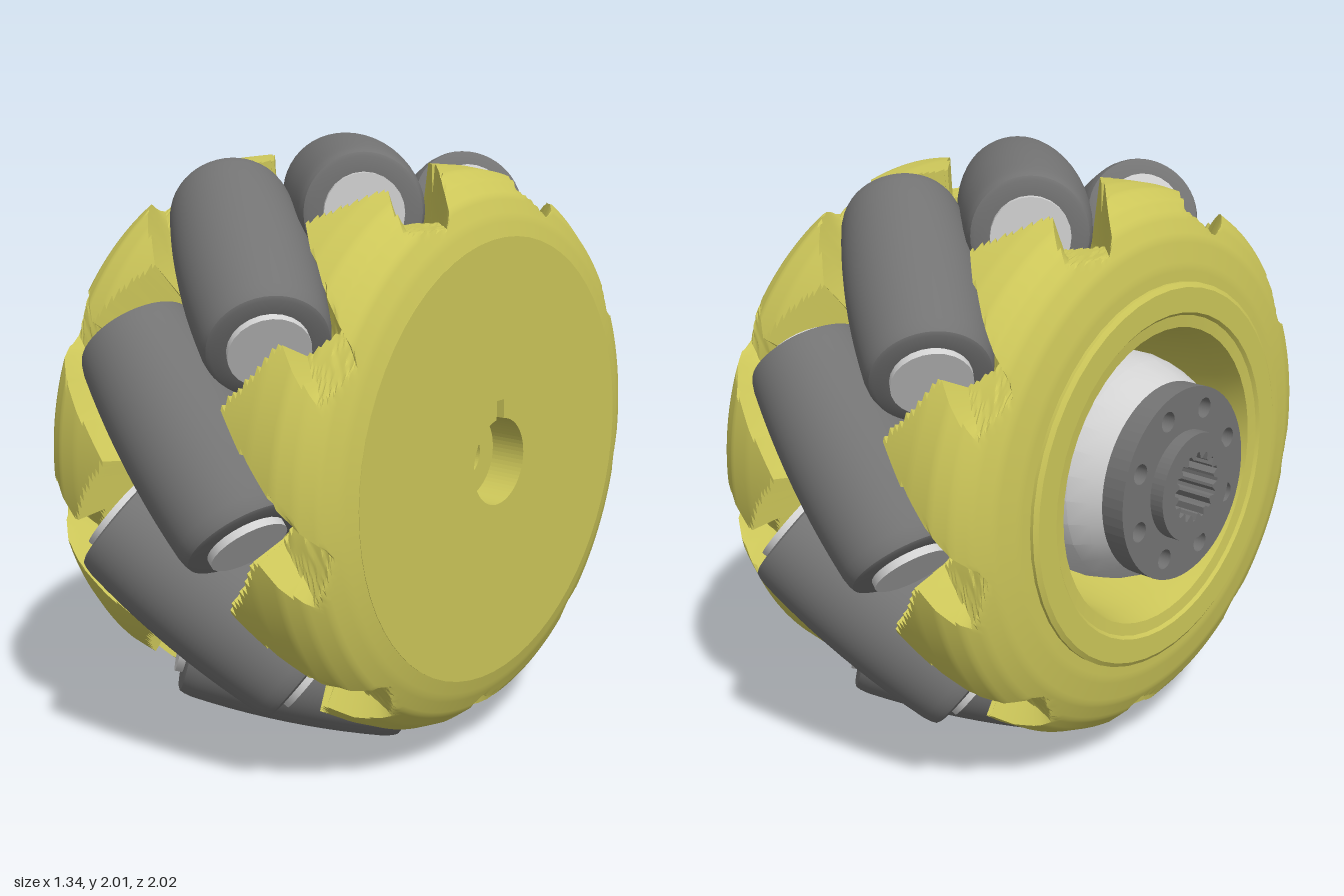
import * as THREE from 'three';
import { toCreasedNormals } from 'three/addons/utils/BufferGeometryUtils.js';

const COUNT = 9, STEP = (Math.PI * 2) / COUNT, PHASE = Math.PI / 18;
const CX = 0.06;        // middle of the wheel along its axle
const R = 0.785;        // distance of roller centres from the axle
const HALF = 0.38;      // half length of a roller

const mat = (name, color) => {
  const m = new THREE.MeshStandardMaterial({ color });
  m.name = name;
  return m;
};

// Solid of revolution around the x axis, points are [x, radius]
function turned(points, segments = 64, crease = 0.5) {
  const g = new THREE.LatheGeometry(points.map(([x, r]) => new THREE.Vector2(r, x)), segments);
  g.rotateZ(-Math.PI / 2);
  return toCreasedNormals(g, crease);
}

// Is the point (x, radius, angle from a roller) inside a roller pocket or a rim notch?
function isCut(x, rho, delta) {
  const a = rho * Math.cos(delta) - R, b = rho * Math.sin(delta), dx = x - CX;
  const s = (dx - b) * Math.SQRT1_2, w = (dx + b) * Math.SQRT1_2;
  if (Math.abs(s) < HALF + 0.025 && Math.abs(w) < 0.232 && (a > 0 || a * a + w * w < 0.0538)) return true;
  const side = Math.sign(s);
  return Math.abs(s) > 0.36 && Math.abs(s) < 0.8 && w * side > 0.09 && w * side < 0.23 && a > -0.03;
}

// Rounded rim with slanted pockets: a radial height field sheared along the rollers
function rimGeometry() {
  const profile = [[-0.53, 0.6], [-0.527, 0.68], [-0.51, 0.77], [-0.48, 0.835], [-0.44, 0.88], [-0.38, 0.908], [-0.3, 0.918],
    [0.42, 0.918], [0.51, 0.908], [0.57, 0.88], [0.62, 0.835], [0.65, 0.77], [0.667, 0.71]];
  const rings = [];
  profile.forEach(([x, r], i) => {
    if (i === 0) return rings.push([x, r]);
    const [x0, r0] = profile[i - 1];
    const n = Math.ceil(Math.hypot(x - x0, r - r0) / 0.016);
    for (let k = 1; k <= n; k++) rings.push([x0 + ((x - x0) * k) / n, r0 + ((r - r0) * k) / n]);
  });
  const N = 360, pos = [], index = [];
  rings.forEach(([x, top], i) => {
    for (let j = 0; j < N; j++) {
      const phi = (j / N) * Math.PI * 2 - (x - CX) / R;
      const near = Math.round((phi - PHASE) / STEP);
      let rho = top;
      for (let k = near - 2; k <= near + 2; k++) {
        const delta = phi - PHASE - k * STEP;
        for (let q = 0.52; q < rho; q += 0.004) if (isCut(x, q, delta)) rho = q;
      }
      pos.push(x, rho * Math.sin(phi), rho * Math.cos(phi));
      if (i < rings.length - 1) {
        const a = i * N + j, b = i * N + ((j + 1) % N);
        index.push(a, a + N, b, b, a + N, b + N);
      }
    }
  });
  const g = new THREE.BufferGeometry();
  g.setAttribute('position', new THREE.Float32BufferAttribute(pos, 3));
  g.setIndex(index);
  return toCreasedNormals(g, 0.45);
}

// Barrel-shaped roller, long axis on y
function rollerGeometry() {
  const pts = [[0.1, -HALF + 0.02], [0.12, -HALF], [0.172, -HALF], [0.184, -HALF + 0.006], [0.191, -HALF + 0.022]];
  for (let i = -5; i <= 5; i++) {
    const s = i * 0.066;
    pts.push([0.216 - 0.17 * s * s, s]);
  }
  pts.push([0.191, HALF - 0.022], [0.184, HALF - 0.006], [0.172, HALF], [0.12, HALF], [0.1, HALF - 0.02]);
  return toCreasedNormals(new THREE.LatheGeometry(pts.map(p => new THREE.Vector2(...p)), 48), 0.6);
}

// Flat plate facing along the axle, extruded from a shape drawn in (-z, y)
function plate(shape, x, depth) {
  const g = new THREE.ExtrudeGeometry(shape, { depth, bevelEnabled: false, curveSegments: 32 });
  g.rotateY(Math.PI / 2);
  g.translate(x, 0, 0);
  return g;
}

function disc(radius) {
  return new THREE.Shape().absarc(0, 0, radius, 0, Math.PI * 2);
}

export function createModel() {
  const yellow = mat('yellow plastic', 0xccc659);
  const grey = mat('dark grey rubber', 0x737373);
  const silver = mat('light grey metal', 0xd2d2d2);

  const model = new THREE.Group();
  model.name = 'rollerWheel';
  const wheel = new THREE.Group();
  wheel.name = 'wheel';
  wheel.position.y = 1;
  model.add(wheel);
  const add = (parent, name, geometry, material) => {
    const m = new THREE.Mesh(geometry, material);
    m.name = name;
    parent.add(m);
    return m;
  };

  add(wheel, 'rim', rimGeometry(), yellow);

  // Closed outer face with a round recess and key slot
  const face = disc(0.712);
  const slot = new THREE.Path();
  const half = Math.asin(0.02 / 0.14);
  slot.absarc(0, 0, 0.14, Math.PI / 2 + half, Math.PI * 2.5 - half);
  slot.lineTo(0.02, 0.2);
  slot.lineTo(-0.02, 0.2);
  slot.closePath();
  face.holes.push(slot);
  add(wheel, 'outerFace', plate(face, 0.55, 0.118), yellow);
  const floor = disc(0.3);
  floor.holes.push(new THREE.Path().absarc(0, 0, 0.065, 0, Math.PI * 2));
  add(wheel, 'recessFloor', plate(floor, 0.5, 0.05), yellow);

  // Stepped ring and deep well on the hub side
  add(wheel, 'hubWell', turned([[-0.12, 0.065], [-0.12, 0.44], [-0.45, 0.47], [-0.535, 0.49], [-0.54, 0.53],
    [-0.55, 0.54], [-0.55, 0.62], [-0.54, 0.635], [-0.525, 0.635]], 48), yellow);

  // Light metal hub inside the well
  add(wheel, 'hubCore', turned([[-0.55, 0.12], [-0.55, 0.31], [-0.51, 0.335], [-0.44, 0.365], [-0.36, 0.38], [-0.12, 0.38]], 28, 0.3), silver);

  // Bolted flange with eight holes
  const flange = disc(0.318);
  for (let i = 0; i < 8; i++) {
    const a = ((i + 0.5) / 8) * Math.PI * 2;
    flange.holes.push(new THREE.Path().absarc(0.25 * Math.cos(a), 0.25 * Math.sin(a), 0.033, 0, Math.PI * 2));
  }
  flange.holes.push(new THREE.Path().absarc(0, 0, 0.14, 0, Math.PI * 2));
  add(wheel, 'hubFlange', plate(flange, -0.625, 0.08), grey);
  add(wheel, 'flangeBack', turned([[-0.56, 0.14], [-0.56, 0.315]], 48), grey);

  // Splined boss
  const boss = disc(0.178);
  const spline = [];
  for (let i = 0; i < 64; i++) {
    const a = (i / 64) * Math.PI * 2, r = i % 4 < 2 ? 0.115 : 0.095;
    spline.push(new THREE.Vector2(r * Math.cos(a), r * Math.sin(a)));
  }
  boss.holes.push(new THREE.Path(spline));
  add(wheel, 'splinedBoss', plate(boss, -0.672, 0.55), grey);
  // Bore running on to the recess
  const bore = turned([[0.52, 0.065], [-0.122, 0.065], [-0.122, 0.13]], 32);
  add(wheel, 'bore', bore, yellow);

  // Slanted rollers on metal pins
  const rollerGeo = rollerGeometry();
  const pinGeo = new THREE.CylinderGeometry(0.125, 0.125, 2 * HALF + 0.05, 24);
  for (let k = 0; k < COUNT; k++) {
    const pivot = new THREE.Group();
    pivot.name = 'rollerUnit';
    pivot.rotation.x = -(PHASE + k * STEP);
    const unit = new THREE.Group();
    unit.name = 'slantedRoller';
    unit.position.set(CX, 0, R);
    unit.rotation.z = -Math.PI * 0.75;
    add(unit, 'roller', rollerGeo, grey);
    add(unit, 'rollerPin', pinGeo, silver);
    pivot.add(unit);
    wheel.add(pivot);
  }
  return model;
}
